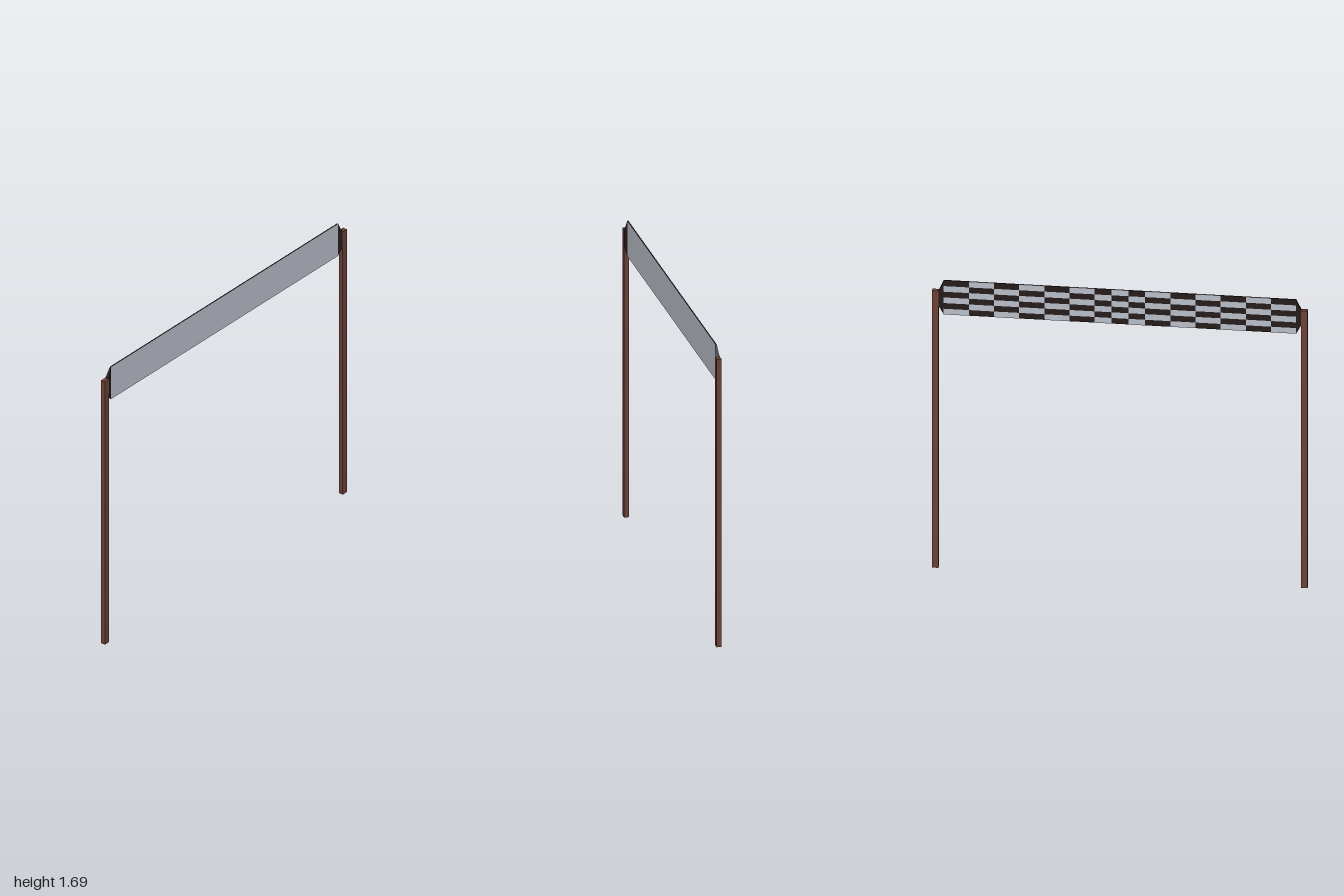
import * as THREE from 'three';

const material = (name, color) => {
  const m = new THREE.MeshStandardMaterial({ color });
  m.name = name;
  return m;
};

// Four-sided end piece tapering from section a to section b along x
function taperedBlock(a, b) {
  const g = new THREE.BoxGeometry(1, 1, 1).toNonIndexed();
  const p = g.attributes.position;
  for (let i = 0; i < p.count; i++) {
    const s = p.getX(i) < 0 ? a : b;
    p.setXYZ(i, s.x, p.getY(i) < 0 ? s.bottom : s.top, Math.sign(p.getZ(i)) * s.halfDepth);
  }
  g.computeVertexNormals();
  return g;
}

export function createModel() {
  const group = new THREE.Group();
  const wood = material('reddish brown', 0x6b4038);
  const grey = material('light grey', 0xb9bec8);
  const dark = material('near black', 0x251b1a);

  const add = (name, geometry, mat, x = 0, y = 0, z = 0) => {
    const mesh = new THREE.Mesh(geometry, mat);
    mesh.name = name;
    mesh.position.set(x, y, z);
    group.add(mesh);
    return mesh;
  };

  const bottom = 1.49, top = 1.69, half = 0.938, depth = 0.006;

  // Posts and the tapered ties that hold the banner
  for (const [side, s] of [['left', 1], ['right', -1]]) {
    add(`${side}Post`, new THREE.BoxGeometry(0.035, 1.63, 0.026), wood, s * 0.9825, 0.815);
    const tie = add(`${side}Tie`, taperedBlock(
      { x: half, bottom, top, halfDepth: depth / 2 },
      { x: 0.966, bottom: 1.545, top: 1.626, halfDepth: 0.0125 }), dark);
    if (s < 0) tie.rotation.y = Math.PI;
  }

  // Banner: plain grey front, dark edges and back ground
  add('banner', new THREE.BoxGeometry(half * 2, top - bottom, depth),
    [dark, dark, dark, dark, grey, dark], 0, (top + bottom) / 2);

  // Light checks on the back, with three narrower columns in the middle
  const rows = 6, rowHeight = (top - bottom) / rows;
  const wide = 0.134, narrow = (half * 2 - 12 * wide) / 3;
  let x = -half;
  for (let c = 0; c < 15; c++) {
    const width = c > 5 && c < 9 ? narrow : wide;
    for (let r = 0; r < rows; r++) {
      if ((c + r) % 2 === 0) continue;
      const check = add('backCheck', new THREE.PlaneGeometry(width, rowHeight), grey,
        x + width / 2, top - (r + 0.5) * rowHeight, -depth / 2 - 0.001);
      check.rotation.y = Math.PI;
    }
    x += width;
  }
  return group;
}
